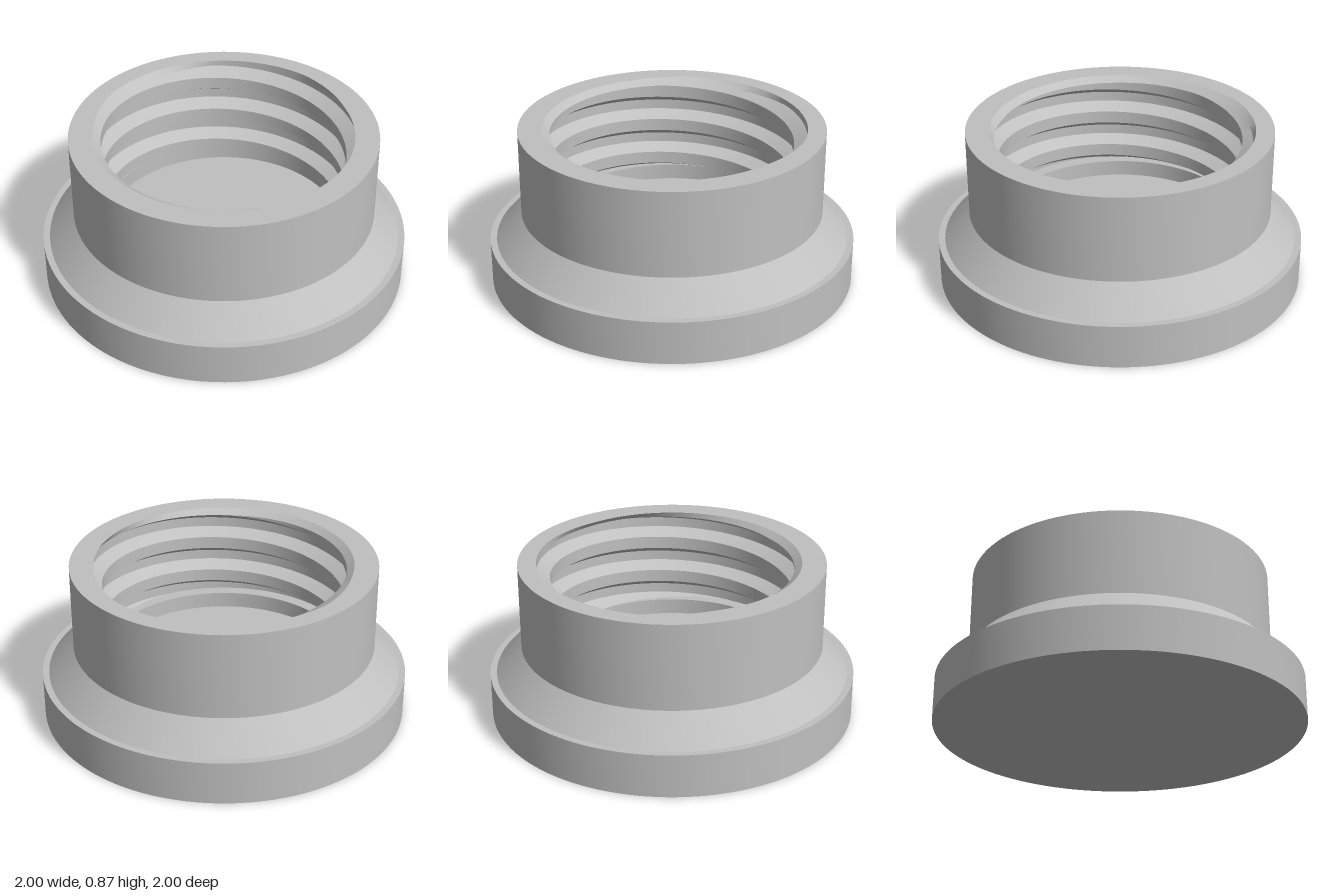
import * as THREE from 'three';
import { toCreasedNormals } from 'three/addons/utils/BufferGeometryUtils.js';

const SEGMENTS = 128;
const TOP = 0.865, FLOOR = 0.24, OUTER = 0.825;
const CREST = 0.655, ROOT = 0.725;
const PITCH = 0.21, THREAD_START = 0.33, CHAMFER_START = 0.835;

// Thread section over one pitch: [height offset, radius]
const SECTION = [[0, CREST], [0.04, ROOT], [0.095, ROOT], [0.14, CREST], [PITCH, CREST]];

// Height at which a groove begins for a given angle
const grooveStart = (a) => 0.748 + PITCH * (a - Math.PI / 4) / (2 * Math.PI);

function threadRadius(y, a) {
  let t = (y - grooveStart(a)) % PITCH;
  if (t < 0) t += PITCH;
  for (let i = 1; i < SECTION.length; i++) {
    const [t0, r0] = SECTION[i - 1], [t1, r1] = SECTION[i];
    if (t <= t1) return r0 + (r1 - r0) * (t - t0) / (t1 - t0);
  }
  return CREST;
}

// Cross-section at one angle, from the floor centre up the thread and over the rim
function boreSection(a) {
  const pts = [[0, FLOOR], [CREST, FLOOR], [CREST, THREAD_START]];
  const add = (h) => {
    const y = THREE.MathUtils.clamp(h, THREAD_START, CHAMFER_START);
    pts.push([threadRadius(y, a), y]);
  };
  add(THREAD_START);
  for (let k = -5; k <= 2; k++) {
    for (let j = 0; j < 4; j++) add(grooveStart(a) + k * PITCH + SECTION[j][0]);
  }
  add(CHAMFER_START);
  pts.push([Math.max(0.695, threadRadius(TOP, a)), TOP], [OUTER, TOP]);
  return pts;
}

function boreGeometry() {
  const pos = [], index = [];
  let n = 0;
  for (let i = 0; i <= SEGMENTS; i++) {
    const a = (i / SEGMENTS) * Math.PI * 2;
    const pts = boreSection(a);
    n = pts.length;
    for (const [r, y] of pts) pos.push(r * Math.cos(a), y, -r * Math.sin(a));
  }
  for (let i = 0; i < SEGMENTS; i++) {
    for (let j = 0; j < n - 1; j++) {
      const p = i * n + j, q = p + n;
      index.push(p, p + 1, q, p + 1, q + 1, q);
    }
  }
  const g = new THREE.BufferGeometry();
  g.setAttribute('position', new THREE.Float32BufferAttribute(pos, 3));
  g.setIndex(index);
  return g;
}

export function createModel() {
  const model = new THREE.Group();
  model.name = 'threadedCap';
  const grey = new THREE.MeshStandardMaterial({ color: 0xc0c0c0 });
  grey.name = 'grey';

  const addPart = (name, geometry) => {
    const mesh = new THREE.Mesh(toCreasedNormals(geometry, Math.PI / 9), grey);
    mesh.name = name;
    model.add(mesh);
  };
  const lathe = (...pts) =>
    new THREE.LatheGeometry(pts.map(([r, y]) => new THREE.Vector2(r, y)), SEGMENTS);

  // Outer shell
  addPart('baseFlange', lathe([0, 0], [1, 0], [1, 0.24], [0.965, 0.24]));
  addPart('slopedShoulder', lathe([0.965, 0.24], [OUTER, 0.393]));
  addPart('neckWall', lathe([OUTER, 0.393], [OUTER, TOP]));

  // Floor, helical thread and rim
  addPart('threadedBore', boreGeometry());
  return model;
}
